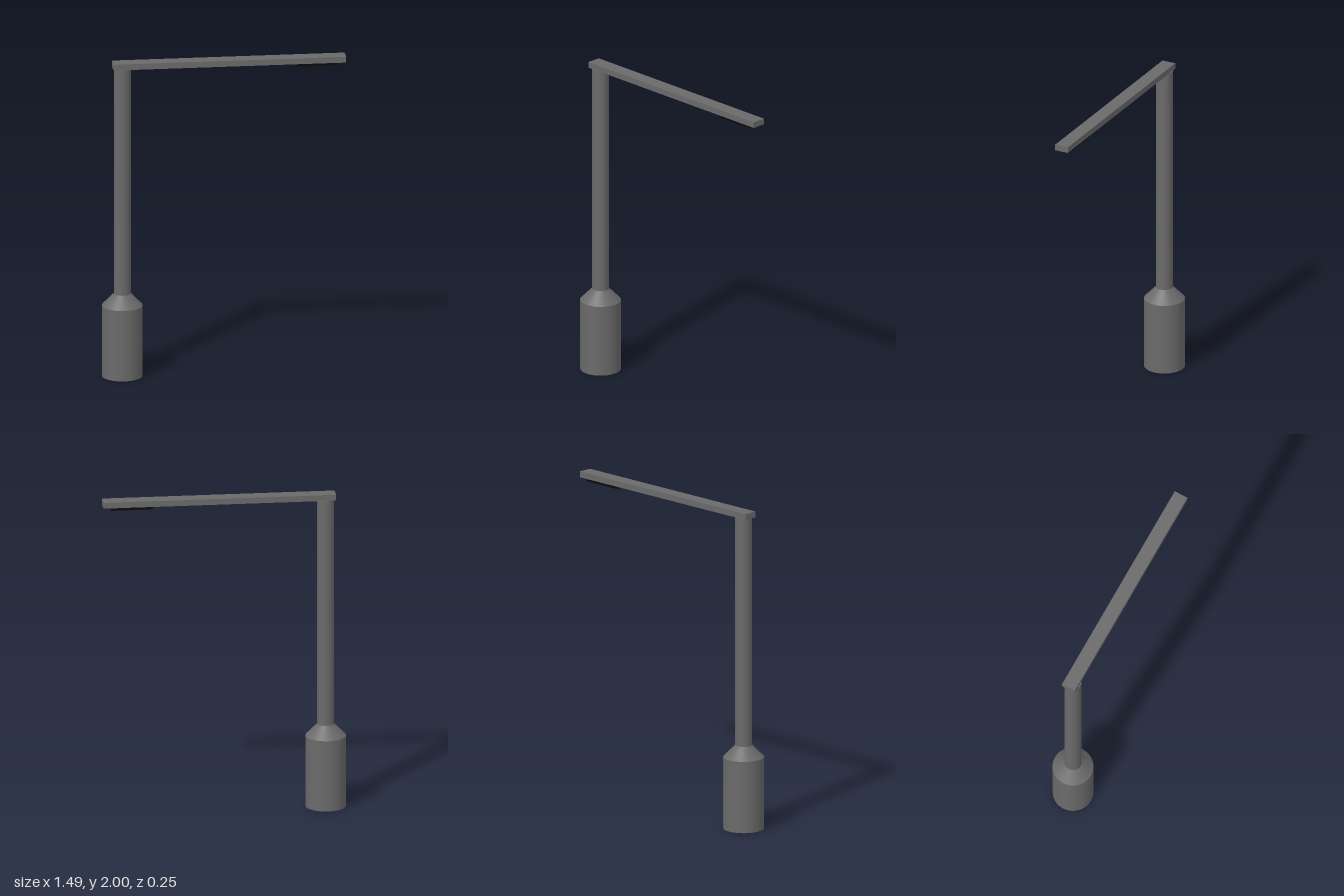
import * as THREE from 'three';

export function createModel() {
  const group = new THREE.Group();
  const metal = new THREE.MeshStandardMaterial({ color: 0x6a6a6a });
  const black = new THREE.MeshStandardMaterial({ color: 0x0a0a0a });
  const postX = -0.622;

  function add(name, geometry, material, x, y) {
    const mesh = new THREE.Mesh(geometry, material);
    mesh.name = name;
    mesh.position.set(x, y, 0);
    group.add(mesh);
  }

  // Round part of the post, standing between two heights
  function round(name, topRadius, bottomRadius, y0, y1) {
    const geometry = new THREE.CylinderGeometry(topRadius, bottomRadius, y1 - y0, 32);
    add(name, geometry, metal, postX, (y0 + y1) / 2);
  }

  // Block centred on z = 0, given by its x and y limits
  function block(name, material, x0, x1, y0, y1, depth) {
    const geometry = new THREE.BoxGeometry(x1 - x0, y1 - y0, depth);
    add(name, geometry, material, (x0 + x1) / 2, (y0 + y1) / 2);
  }

  // Post: wide base, tapered collar, slim pole
  round('base', 0.125, 0.125, 0, 0.45);
  round('collar', 0.052, 0.125, 0.45, 0.525);
  round('pole', 0.052, 0.052, 0.525, 1.963);

  // Horizontal arm with the lamp under its far end
  block('arm', metal, -0.681, 0.747, 1.963, 2, 0.088);
  block('lamp', black, 0.44, 0.697, 1.943, 1.963, 0.06);

  return group;
}
